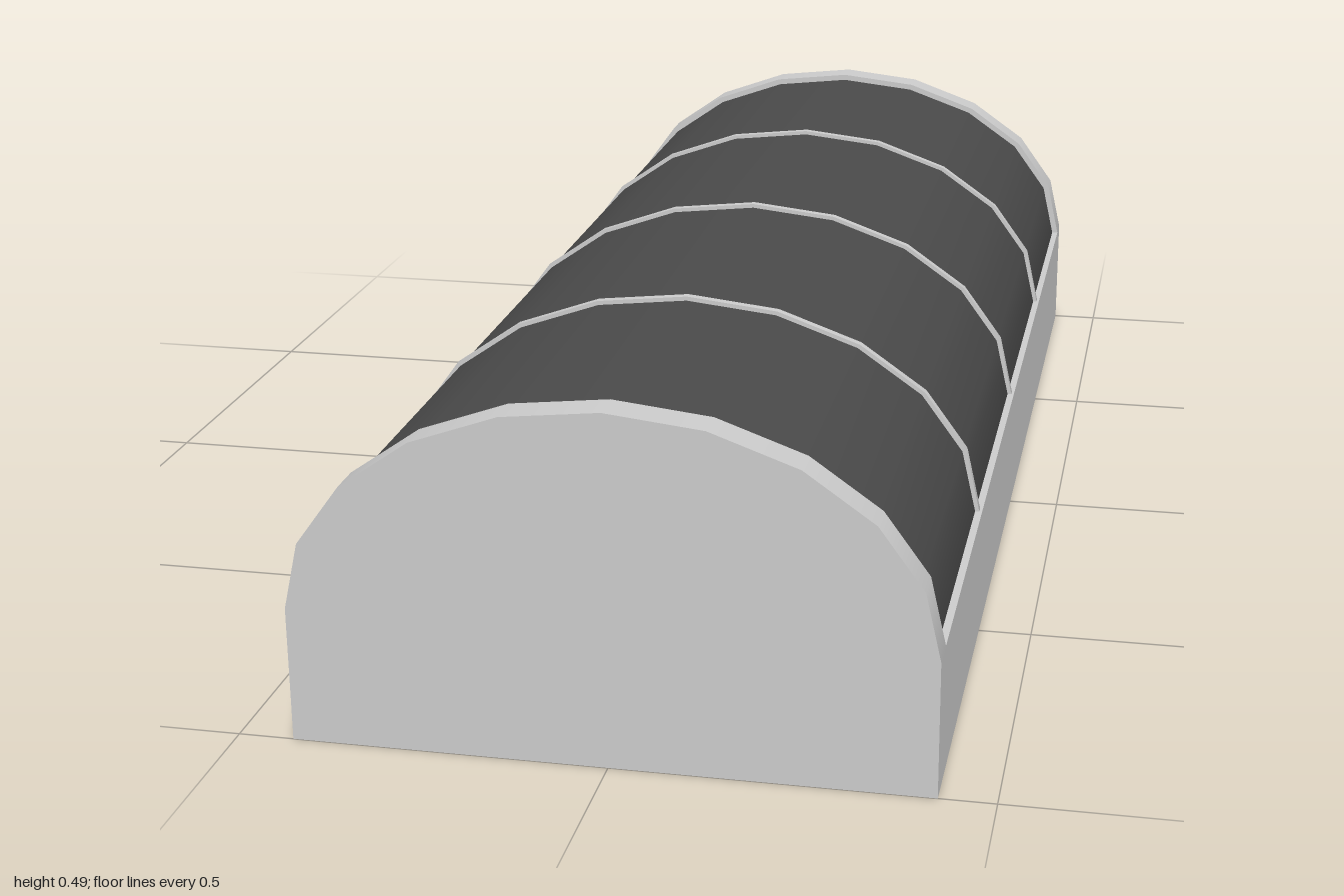
import * as THREE from 'three';

const BASE_H = 0.187, HALF_W = 0.425, RISE = 0.298, LENGTH = 2, END = 0.05;

export function createModel() {
  const group = new THREE.Group();
  const grey = new THREE.MeshStandardMaterial({ color: 0xcccccc });
  const glass = new THREE.MeshStandardMaterial({ color: 0x4a4a4a });

  // Half-elliptic slab standing on the base, running along z
  function arch(name, inset, depth, z, material) {
    const geo = new THREE.CylinderGeometry(1, 1, depth, 10, 1, false, -Math.PI / 2, Math.PI);
    geo.rotateX(-Math.PI / 2);
    geo.scale(HALF_W - inset, RISE - inset, 1);
    const mesh = new THREE.Mesh(geo, material);
    mesh.name = name;
    mesh.position.set(0, BASE_H, z);
    group.add(mesh);
  }

  // Rectangular base
  const base = new THREE.Mesh(new THREE.BoxGeometry(HALF_W * 2, BASE_H, LENGTH), grey);
  base.name = 'base';
  base.position.y = BASE_H / 2;
  group.add(base);

  // Arched end walls
  for (const s of [1, -1]) {
    arch(s > 0 ? 'frontWall' : 'backWall', 0, END, s * (LENGTH - END) / 2, grey);
  }

  // Dark vaulted roof between the walls
  arch('vault', 0.01, LENGTH - 2 * END, 0, glass);

  // Thin ribs dividing the roof into four bays
  for (const z of [-0.5, 0, 0.5]) arch('rib', 0.004, 0.012, z, grey);

  return group;
}
